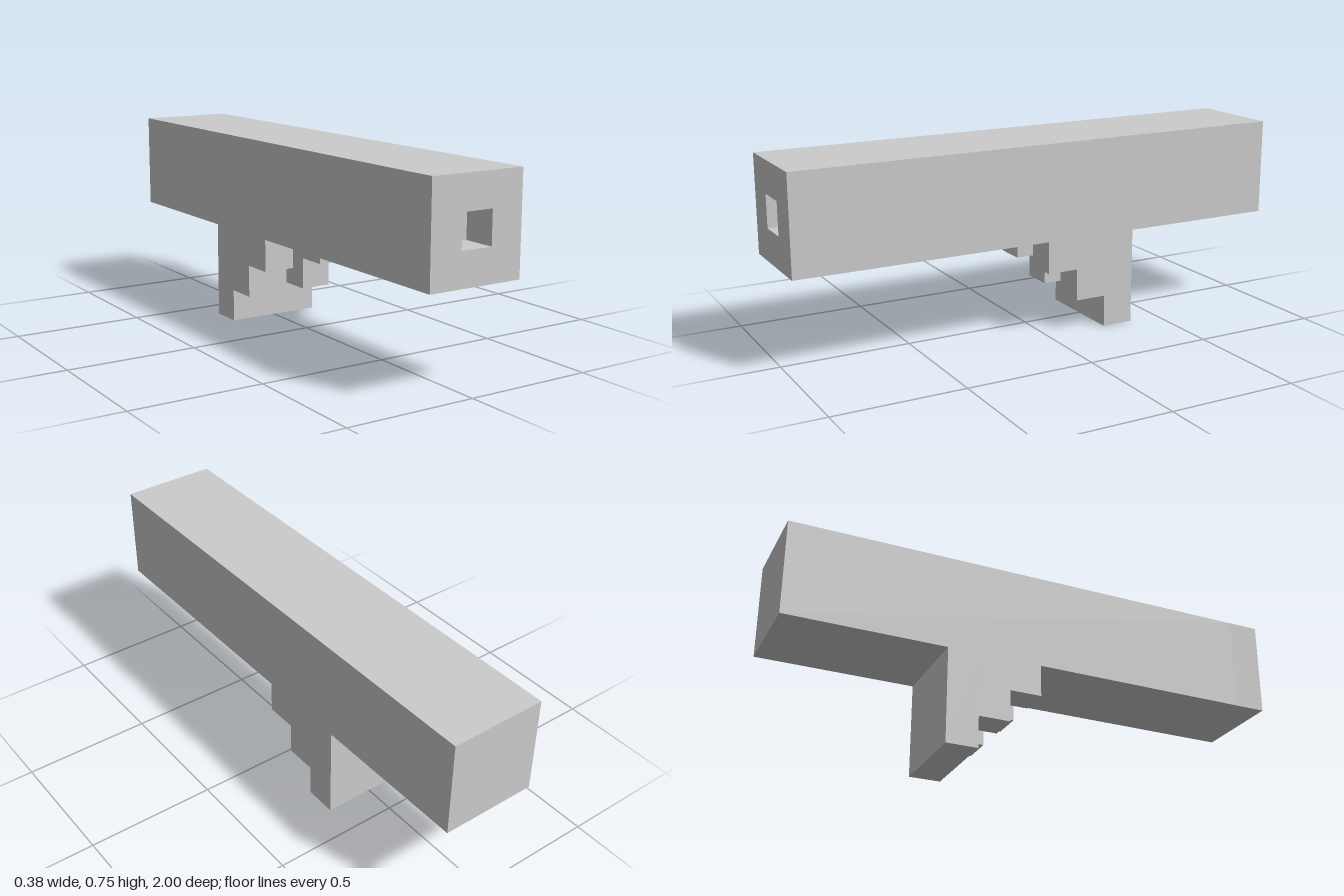
import * as THREE from 'three';

const U = 0.125; // the whole model sits on a grid of this unit

export function createModel() {
  const model = new THREE.Group();
  const material = new THREE.MeshStandardMaterial({ color: 0xcccccc, flatShading: true });

  const add = (name, geometry, x, y, z) => {
    const mesh = new THREE.Mesh(geometry, material);
    mesh.name = name;
    mesh.position.set(x, y, z);
    model.add(mesh);
  };
  const square = (PathType, r) => new PathType().setFromPoints([
    new THREE.Vector2(-r, -r), new THREE.Vector2(r, -r),
    new THREE.Vector2(r, r), new THREE.Vector2(-r, r),
  ]).closePath();

  // Long square beam, one unit short of the front
  add('beam', new THREE.BoxGeometry(3 * U, 3 * U, 15 * U), 0, 4.5 * U, -0.5 * U);

  // Front end with a square recess one unit deep
  const rim = square(THREE.Shape, 1.5 * U);
  rim.holes.push(square(THREE.Path, 0.5 * U));
  add('frontRim', new THREE.ExtrudeGeometry(rim, { depth: U, bevelEnabled: false }), 0, 4.5 * U, 7 * U);

  // Full-width support plate under the beam
  add('supportPlate', new THREE.BoxGeometry(3 * U, 3 * U, U), 0, 1.5 * U, -2.5 * U);

  // Stepped bracket on each side of the plate, profile drawn in (z, y)
  const steps = new THREE.Shape([[-2, 1], [-1, 1], [-1, 2], [0, 2], [0, 3], [-2, 3]]
    .map(([z, y]) => new THREE.Vector2(z * U, y * U)));
  const bracket = new THREE.ExtrudeGeometry(steps, { depth: U, bevelEnabled: false });
  bracket.translate(0, 0, -U / 2).rotateY(-Math.PI / 2);
  add('leftBracket', bracket, U, 0, 0);
  add('rightBracket', bracket, -U, 0, 0);

  return model;
}
